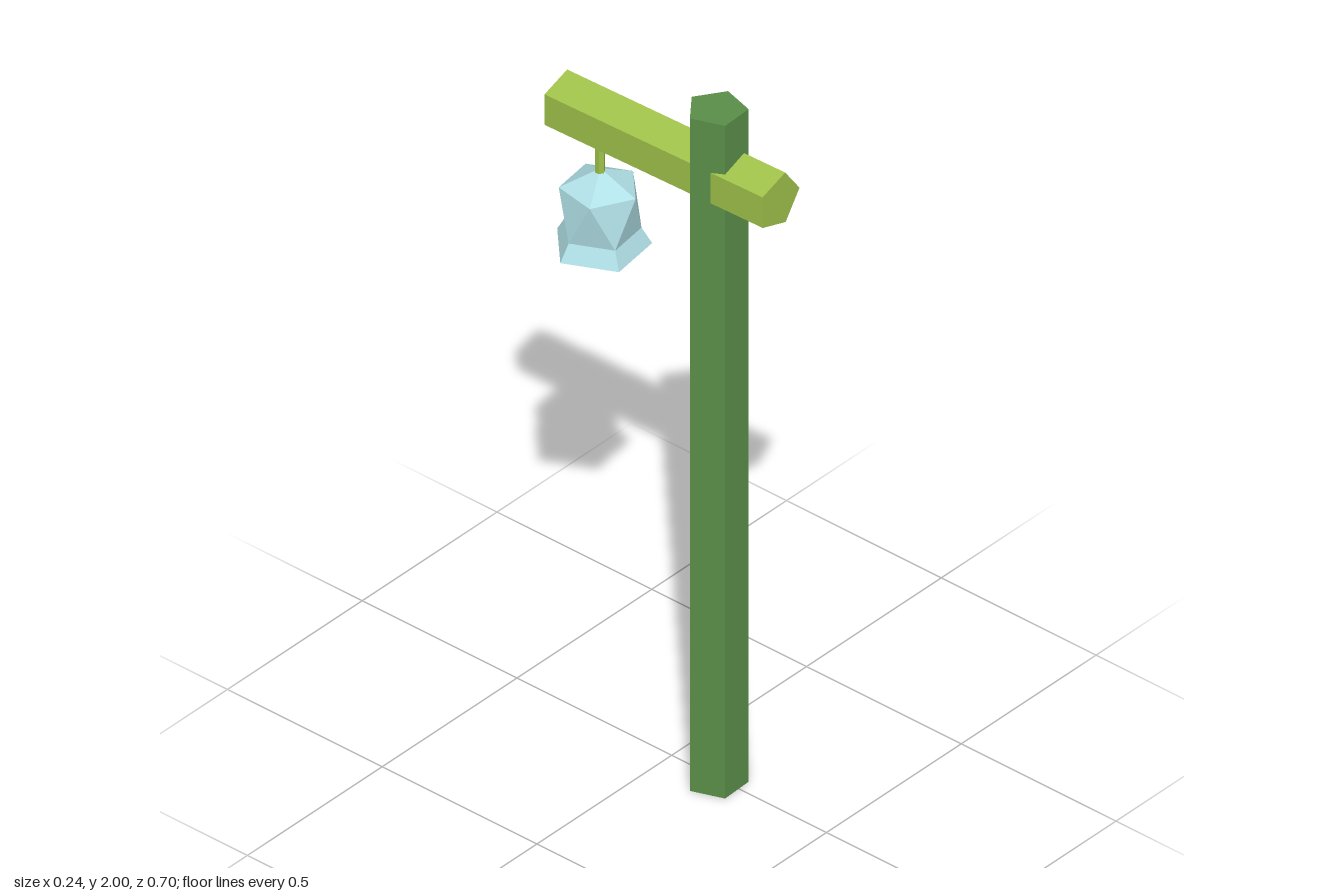
import * as THREE from 'three';

const material = (color, extra = {}) =>
  new THREE.MeshStandardMaterial({ color, flatShading: true, ...extra });

// Five-sided bell: faceted crown, staggered shoulder and waist rings, flared open rim.
function bellGeometry() {
  const ring = (radius, y, startDeg) =>
    Array.from({ length: 5 }, (_, i) => {
      const a = THREE.MathUtils.degToRad(startDeg + i * 72);
      return new THREE.Vector3(radius * Math.cos(a), y, -radius * Math.sin(a));
    });
  const apex = new THREE.Vector3(0, 0.23, 0);
  const shoulder = ring(0.102, 0.177, 62);
  const waist = ring(0.1, 0.05, 26);
  const rim = ring(0.126, 0.003, 26);
  const points = [];
  for (let i = 0; i < 5; i++) {
    const j = (i + 1) % 5;
    points.push(apex, shoulder[i], shoulder[j]);
    points.push(shoulder[i], waist[i], waist[j]);
    points.push(shoulder[i], waist[j], shoulder[j]);
    points.push(waist[i], rim[i], rim[j]);
    points.push(waist[i], rim[j], waist[j]);
  }
  const geometry = new THREE.BufferGeometry().setFromPoints(points);
  geometry.computeVertexNormals();
  return geometry;
}

export function createModel() {
  const model = new THREE.Group();
  const add = (name, geometry, mat, x, y, z) => {
    const mesh = new THREE.Mesh(geometry, mat);
    mesh.name = name;
    mesh.position.set(x, y, z);
    model.add(mesh);
    return mesh;
  };
  const wood = material(0xa0c24a);

  // Upright pentagonal post
  add('post', new THREE.CylinderGeometry(0.078, 0.078, 2, 5, 1, false, Math.PI + 0.04),
    material(0x5a8f4a), -0.01, 1, 0.154);

  // Crossbeam through the post, slightly crooked
  const beamGeometry = new THREE.CylinderGeometry(0.077, 0.077, 0.695, 5, 1, false, Math.PI / 2);
  beamGeometry.rotateX(Math.PI / 2);
  const beam = add('crossbeam', beamGeometry, wood, -0.007, 1.804, 0.001);
  beam.rotation.set(-0.01, 0.016, 0);

  // Hanger and bell at the back end of the beam
  add('hanger', new THREE.CylinderGeometry(0.013, 0.013, 0.15, 6), wood, -0.002, 1.69, -0.23);
  add('bell', bellGeometry(), material(0xb0e0e6, { side: THREE.DoubleSide }), 0, 1.41, -0.23);

  return model;
}
